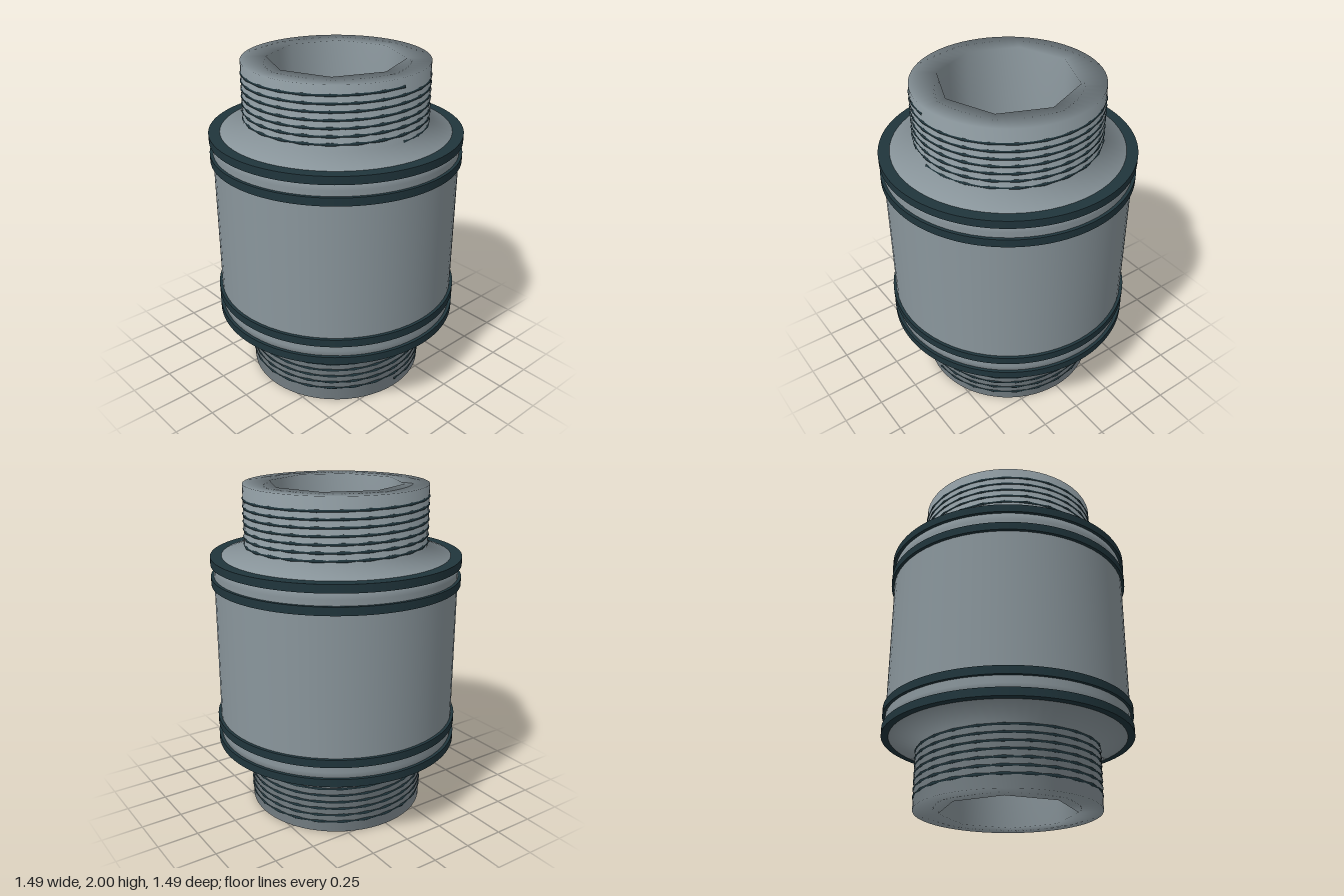
import * as THREE from 'three';

const profile = (pairs) => pairs.map(([r, y]) => new THREE.Vector2(r, y));

// Helix starting at the front and rising towards +x
class Helix extends THREE.Curve {
  constructor(radius, y0, y1, turns) {
    super();
    Object.assign(this, { radius, y0, y1, turns });
  }
  getPoint(t, target = new THREE.Vector3()) {
    const a = t * this.turns * Math.PI * 2;
    return target.set(Math.sin(a) * this.radius, this.y0 + (this.y1 - this.y0) * t, Math.cos(a) * this.radius);
  }
}

export function createModel() {
  const group = new THREE.Group();
  const grey = new THREE.MeshStandardMaterial({ color: 0x8a969c });
  grey.name = 'grey metal';
  const dark = new THREE.MeshStandardMaterial({ color: 0x20353c });
  dark.name = 'dark teal';

  const add = (name, geometry, material) => {
    const mesh = new THREE.Mesh(geometry, material);
    mesh.name = name;
    group.add(mesh);
    return mesh;
  };

  // Fitting: necks, sloped shoulders, wide body and bore in one smooth profile
  const body = new THREE.LatheGeometry(profile([
    [0.4, 1], [0.4, 0], [0.542, 0], [0.542, 0.36], [0.727, 0.43], [0.727, 0.5],
    [0.727, 1.5], [0.727, 1.57], [0.542, 1.64], [0.542, 2], [0.4, 2], [0.4, 1],
  ]), 64);

  // Pull the bore into an octagon with corners on the axes
  const pos = body.attributes.position;
  const side = Math.PI / 4;
  for (let i = 0; i < pos.count; i++) {
    const x = pos.getX(i), z = pos.getZ(i);
    const r = Math.hypot(x, z);
    if (r > 0.41) continue;
    const a = Math.atan2(x, z) + Math.PI * 2 + 1e-6;
    const k = 0.4 * Math.cos(side / 2) / Math.cos((a % side) - side / 2) / r;
    pos.setXYZ(i, x * k, pos.getY(i), z * k);
  }
  add('body', body, grey);

  // Four flat-edged bands, two at each end of the body
  const band = new THREE.Shape().absarc(0, 0, 0.745, 0, Math.PI * 2);
  band.holes.push(new THREE.Path().absarc(0, 0, 0.62, 0, Math.PI * 2, true));
  const bandGeometry = new THREE.ExtrudeGeometry(band, { depth: 0.048, bevelEnabled: false, curveSegments: 64 });
  bandGeometry.rotateX(-Math.PI / 2);
  for (const y of [0.421, 0.541, 1.42, 1.54]) add('band', bandGeometry, dark).position.y = y;

  // Screw threads just breaking the surface of each neck
  const turns = 7;
  for (const [name, y0, y1] of [['lowerThread', 0.05, 0.36], ['upperThread', 1.64, 1.95]]) {
    add(name, new THREE.TubeGeometry(new Helix(0.539, y0, y1, turns), turns * 24, 0.01, 6), dark);
  }

  return group;
}
